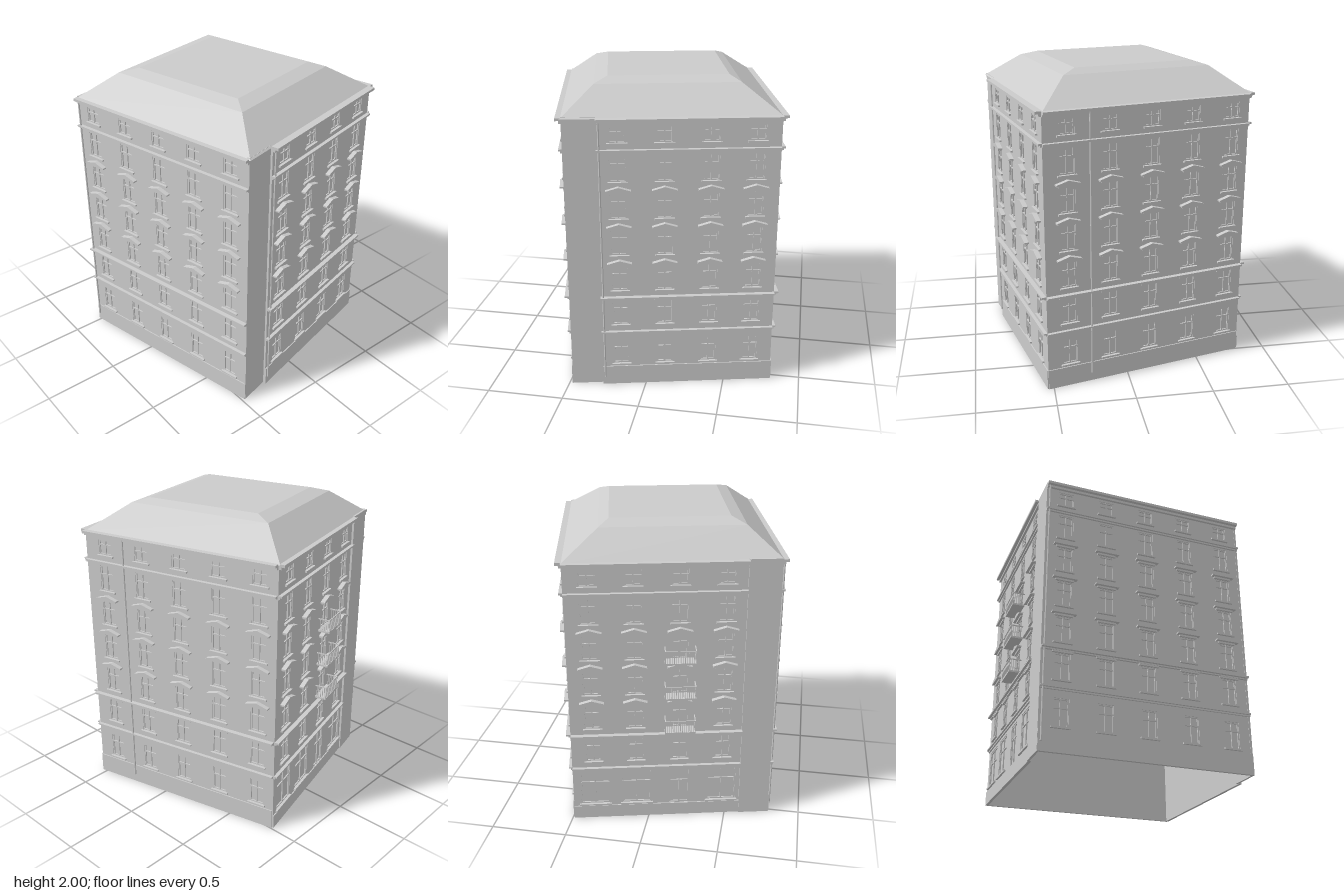
import * as THREE from 'three';
import { mergeGeometries } from 'three/addons/utils/BufferGeometryUtils.js';

const grey = new THREE.MeshStandardMaterial({ color: 0xcccccc, flatShading: true, side: THREE.DoubleSide });

function box(list, w, h, d, x, y, z) {
  list.push(new THREE.BoxGeometry(w, h, d).toNonIndexed().translate(x, y, z));
}

// A strip lying on the wall between x0..x1 and y0..y1, standing out by d
function strip(list, x0, x1, y0, y1, d) {
  box(list, x1 - x0, y1 - y0, d + 0.01, (x0 + x1) / 2, (y0 + y1) / 2, (d - 0.01) / 2);
}

// Storeys: window bottom, window top, pediment above?
const storeys = [
  [0.155, 0.33], [0.445, 0.615], [0.69, 0.86, true], [0.935, 1.105, true],
  [1.18, 1.345, true], [1.42, 1.59], [1.665, 1.765],
];
const WALL = 0.012;

function addWindow(parts, holes, x, y0, y1, w, pediment, sill = true) {
  const h = y1 - y0, yc = (y0 + y1) / 2, bar = 0.008;
  const hole = new THREE.Path();
  hole.moveTo(x - w / 2, y0).lineTo(x - w / 2, y1).lineTo(x + w / 2, y1).lineTo(x + w / 2, y0).closePath();
  holes.push(hole);
  // glass, outer frame, mullion and transom
  parts.glass.push(new THREE.PlaneGeometry(w, h).toNonIndexed().translate(x, yc, -WALL));
  for (const s of [-1, 1]) {
    box(parts.frames, bar, h, 0.008, x + s * (w - bar) / 2, yc, -0.008);
    box(parts.frames, w, bar, 0.008, x, yc + s * (h - bar) / 2, -0.008);
  }
  box(parts.frames, bar, h, 0.008, x, yc, -0.007);
  box(parts.frames, w, bar, 0.008, x, y0 + h * 0.66, -0.007);
  if (sill) strip(parts.sills, x - w / 2 - 0.012, x + w / 2 + 0.012, y0 - 0.011, y0, 0.014);
  if (pediment) {
    strip(parts.pediments, x - 0.06, x + 0.06, y1 + 0.002, y1 + 0.014, 0.012);
    const s = new THREE.Shape([[-0.078, 0.014], [0.078, 0.014], [0.078, 0.024], [0, 0.047], [-0.078, 0.024]]
      .map(([a, b]) => new THREE.Vector2(x + a, y1 + b)));
    parts.pediments.push(new THREE.ExtrudeGeometry(s, { depth: 0.03, bevelEnabled: false }));
  }
}

function addBalcony(parts, x, y) {
  const w = 0.196, d = 0.08, top = 0.085;
  box(parts.balconies, w, 0.012, d, x, y, d / 2);
  box(parts.balconies, w, 0.006, 0.006, x, y + top, d - 0.003);
  for (const s of [-1, 1]) box(parts.balconies, 0.006, 0.006, d, x + s * (w / 2 - 0.003), y + top, d / 2);
  for (let i = 0; i <= 14; i++)
    box(parts.balconies, 0.004, top, 0.004, x + (i / 14 - 0.5) * (w - 0.006), y + top / 2, d - 0.003);
  for (let i = 1; i <= 5; i++)
    for (const s of [-1, 1])
      box(parts.balconies, 0.004, top, 0.004, x + s * (w / 2 - 0.003), y + top / 2, i * d / 6);
}

// One facade facing +z with its outer wall face at z = 0
function facade(name, { x0, x1, cols, pipe, balconyCol, shop }) {
  const parts = { walls: [], glass: [], frames: [], sills: [], pediments: [], bands: [], plinth: [], pipe: [], balconies: [] };
  const holes = [];
  storeys.forEach(([y0, y1, ped], floor) => {
    cols.forEach((x, c) => {
      if (floor === 0 && shop) {
        // tall shop windows and the entrance door
        const door = c === balconyCol;
        addWindow(parts, holes, x, door ? 0.095 : 0.11, 0.36, door ? 0.13 : 0.19, false, !door);
        return;
      }
      addWindow(parts, holes, x, y0, y1, 0.1, ped);
      if (c === balconyCol && ped) addBalcony(parts, x, y0 - 0.006);
    });
  });
  const wall = new THREE.Shape([[x0, 0], [x1, 0], [x1, 1.81], [x0, 1.81]].map(p => new THREE.Vector2(...p)));
  wall.holes = holes;
  parts.walls.push(new THREE.ExtrudeGeometry(wall, { depth: WALL, bevelEnabled: false }).translate(0, 0, -WALL));

  strip(parts.plinth, x0, x1, 0, shop ? 0.092 : 0.133, 0.007);
  // string courses and the stepped cornice
  for (const [y0, y1, d] of [[0.378, 0.388, 0.01], [0.388, 0.398, 0.022], [0.628, 0.636, 0.014], [0.636, 0.648, 0.03],
    [1.602, 1.612, 0.012], [1.612, 1.624, 0.024], [1.782, 1.798, 0.016], [1.798, 1.815, 0.037]])
    strip(parts.bands, x0, x1, y0, y1, d);
  for (const x of cols) strip(parts.bands, x - 0.065, x + 0.065, 0.617, 0.63, 0.012);

  if (pipe !== undefined)
    parts.pipe.push(new THREE.CylinderGeometry(0.006, 0.006, 1.74, 8).toNonIndexed().translate(pipe, 0.93, 0.012));

  const g = new THREE.Group();
  g.name = name;
  for (const [key, list] of Object.entries(parts)) {
    if (!list.length) continue;
    const m = new THREE.Mesh(mergeGeometries(list), grey);
    m.name = key;
    g.add(m);
  }
  return g;
}

// Hipped roof with a shallow upper pitch, lofted through rectangles [u0, u1, v0, v1, y]
function roof() {
  const rings = [
    [-0.685, 0.7, -0.665, 0.66, 1.81], [-0.49, 0.49, -0.44, 0.46, 1.97], [-0.39, 0.395, -0.375, 0.375, 2],
  ].map(([a, b, c, d, y]) => [[a, y, d], [b, y, d], [b, y, c], [a, y, c]]);
  const pos = [];
  const quad = (a, b, c, d) => pos.push(...a, ...b, ...c, ...a, ...c, ...d);
  for (let r = 0; r < rings.length - 1; r++)
    for (let i = 0; i < 4; i++) {
      const j = (i + 1) % 4;
      quad(rings[r][i], rings[r][j], rings[r + 1][j], rings[r + 1][i]);
    }
  quad(...rings[rings.length - 1]);
  const geo = new THREE.BufferGeometry();
  geo.setAttribute('position', new THREE.Float32BufferAttribute(pos, 3));
  geo.computeVertexNormals();
  const m = new THREE.Mesh(geo, grey);
  m.name = 'roof';
  return m;
}

export function createModel() {
  const model = new THREE.Group();
  model.name = 'apartmentBuilding';
  const house = new THREE.Group();
  house.name = 'house';
  house.rotation.y = 0.232;
  model.add(house);

  const five = [-0.555, -0.278, 0, 0.278, 0.555];
  const four = [-0.515, -0.24, 0.043, 0.326];
  const add = (name, opts, x, z, angle) => {
    const f = facade(name, opts);
    f.position.set(x, 0, z);
    f.rotation.y = angle;
    house.add(f);
  };
  add('frontFacade', { x0: -0.688, x1: 0.688, cols: five, pipe: -0.67 }, 0, 0.65, 0);
  add('backFacade', { x0: -0.705, x1: 0.67, cols: five, pipe: -0.41 }, 0, -0.66, Math.PI);
  add('leftHandFacade', { x0: -0.66, x1: 0.452, cols: four, balconyCol: 2, shop: true }, -0.675, 0, -Math.PI / 2);
  add('rightHandFacade', { x0: -0.452, x1: 0.66, cols: four.map(x => -x), pipe: -0.435 }, 0.705, 0, Math.PI / 2);

  // plain party walls beside the front corners
  for (const s of [-1, 1]) {
    const m = new THREE.Mesh(new THREE.BoxGeometry(0.014, 1.82, 0.203), grey);
    m.name = 'plainWall';
    m.position.set(s * 0.682, 0.91, 0.5505);
    house.add(m);
  }
  house.add(roof());
  return model;
}
